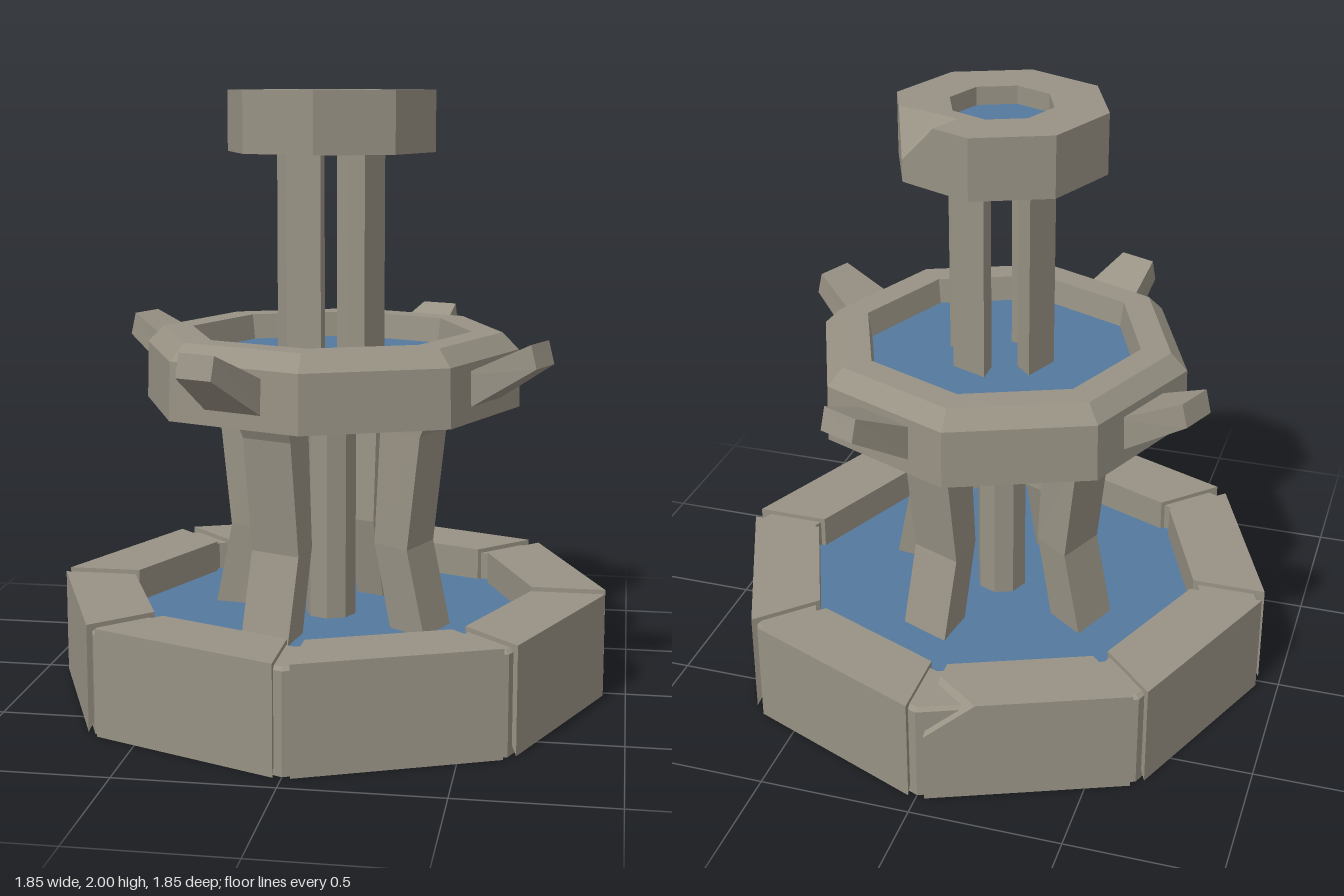
import * as THREE from 'three';

const RAD = Math.PI / 180;
const C8 = Math.cos(22.5 * RAD), S8 = Math.sin(22.5 * RAD);

const stone = new THREE.MeshStandardMaterial({ color: 0x989284, side: THREE.DoubleSide, flatShading: true });
stone.name = 'stone';
const water = new THREE.MeshStandardMaterial({ color: 0x54789e, side: THREE.DoubleSide, flatShading: true });
water.name = 'water';

// Joins rows of points into a flat-shaded skin.
function loft(rows, closed = true) {
  const pos = [];
  for (let i = 0; i < rows.length - 1; i++) {
    const n = rows[i].length;
    for (let j = 0; j < (closed ? n : n - 1); j++) {
      const k = (j + 1) % n;
      const [a, b, c, d] = [rows[i][j], rows[i][k], rows[i + 1][k], rows[i + 1][j]];
      pos.push(...a, ...b, ...c, ...a, ...c, ...d);
    }
  }
  const g = new THREE.BufferGeometry();
  g.setAttribute('position', new THREE.Float32BufferAttribute(pos, 3));
  g.computeVertexNormals();
  return g;
}

// Point on an octagon whose corners lie on the axes and diagonals.
function oct(deg, R, y) {
  const local = ((deg % 45) + 45) % 45;
  const r = R * C8 / Math.cos((local - 22.5) * RAD);
  return [r * Math.sin(deg * RAD), y, r * Math.cos(deg * RAD)];
}

const CORNERS = [0, 45, 90, 135, 180, 225, 270, 315];

// Octagonal body from [radius, height] pairs; height may depend on the angle.
function octBody(profile, angles = CORNERS) {
  return loft(profile.map(([R, y]) => angles.map(a => oct(a, R, typeof y === 'function' ? y(a) : y))));
}

function add(parent, name, geometry, material = stone) {
  const m = new THREE.Mesh(geometry, material);
  m.name = name;
  parent.add(m);
  return m;
}

function pool(parent, name, R, y) {
  add(parent, name, octBody([[R, y], [0, y]]), water);
}

// Four copies in a pinwheel round the centre.
function aroundFour(parent, name, geometry) {
  for (let k = 0; k < 4; k++) add(parent, name, geometry, stone).rotation.y = (-22.5 + 90 * k) * RAD;
}

// Tapered upright: sections are [y, inner radius, outer radius, inner half width, outer half width].
function upright(sections) {
  return loft(sections.map(([y, ri, ro, wi, wo]) => [[-wo, y, ro], [wo, y, ro], [wi, y, ri], [-wi, y, ri]]));
}

// One block of the basin wall, open underneath, optionally with a broken corner.
function wallBlock(chipped) {
  const zo = 0.936 * C8, zi = 0.69 * C8, zm = 0.70;
  const half = z => z * S8 / C8 - 0.029;
  const section = (t, top) => [[zi, 0.2], [zi, 0.35], [zm, 0.35], [zo, top], [zo, 0]]
    .map(([z, y]) => [t * half(z), y, z]);
  const cap = t => Array(5).fill([t * half(0.75), 0.18, 0.75]);
  return loft([cap(-1), section(-1, chipped ? 0.24 : 0.35), section(-0.5, 0.35), section(1, 0.35), cap(1)], false);
}

export function createModel() {
  const model = new THREE.Group();
  model.name = 'fountain';

  // Lower basin: eight blocks with recessed joints between them
  const basin = new THREE.Group();
  basin.name = 'basin';
  model.add(basin);
  for (let k = 0; k < 8; k++) {
    add(basin, 'wallBlock', wallBlock(k === 4)).rotation.y = (22.5 + 45 * k) * RAD;
  }
  add(basin, 'mortarJoints', octBody([[0.916, 0], [0.916, 0.325], [0.9, 0.335], [0.705, 0.335], [0.705, 0.2]]));
  pool(basin, 'basinWater', 0.78, 0.24);

  // Floor plate with openings under the hollow legs and column
  const floor = new THREE.Shape(CORNERS.map(a => oct(a, 0.73, 0)).map(p => new THREE.Vector2(p[0], p[2])));
  for (let k = 0; k < 4; k++) {
    const a = (-22.5 + 90 * k) * RAD;
    floor.holes.push(new THREE.Path([[-0.09, 0.46], [0.09, 0.46], [0.055, 0.31], [-0.055, 0.31]].map(([x, z]) =>
      new THREE.Vector2(x * Math.cos(a) + z * Math.sin(a), z * Math.cos(a) - x * Math.sin(a)))));
  }
  floor.holes.push(new THREE.Path(CORNERS.map(a => oct(a, 0.085, 0)).map(p => new THREE.Vector2(p[0], p[2]))));
  const floorGeo = new THREE.ShapeGeometry(floor);
  floorGeo.rotateX(Math.PI / 2);
  floorGeo.translate(0, 0.03, 0);
  add(basin, 'basinFloor', floorGeo);

  // Bent legs and the central column carrying the middle bowl
  aroundFour(model, 'leg', upright([
    [0.03, 0.31, 0.46, 0.055, 0.09],
    [0.52, 0.2, 0.345, 0.05, 0.09],
    [0.9, 0.22, 0.39, 0.05, 0.09],
    [0.98, 0.2, 0.43, 0.06, 0.1],
  ]));
  add(model, 'centralColumn', octBody([[0.085, 0.03], [0.085, 0.98]]));

  // Middle bowl with chamfered rim
  add(model, 'middleBowl', octBody([
    [0, 0.97], [0.63, 0.97], [0.625, 1.16], [0.57, 1.215], [0.47, 1.215], [0.45, 1.08],
  ]));
  pool(model, 'middleWater', 0.462, 1.13);

  // Spouts rising outward from the bowl wall
  const spoutSection = (z, zt, w, yb, yt) => [[w, yb, z], [w, yt, zt], [-w, yt, zt], [-w, yb, z]];
  aroundFour(model, 'spout', loft([
    spoutSection(0.55, 0.55, 0.11, 1.0, 1.12),
    spoutSection(0.785, 0.765, 0.065, 1.15, 1.225),
    Array(4).fill([0, 1.187, 0.775]),
  ]));

  // Upper posts
  aroundFour(model, 'upperPost', upright([
    [1.0, 0.095, 0.168, 0.035, 0.065],
    [1.81, 0.095, 0.168, 0.035, 0.065],
  ]));

  // Top bowl with a broken corner
  add(model, 'topBowl', octBody([
    [0, 1.8], [0.345, 1.8], [0.345, a => (a === 135 ? 1.87 : 2)], [0.225, 2], [0.17, 2], [0.17, 1.88],
  ], [0, 45, 90, 113, 135, 157, 180, 225, 270, 315]));
  pool(model, 'topWater', 0.17, 1.94);

  return model;
}
